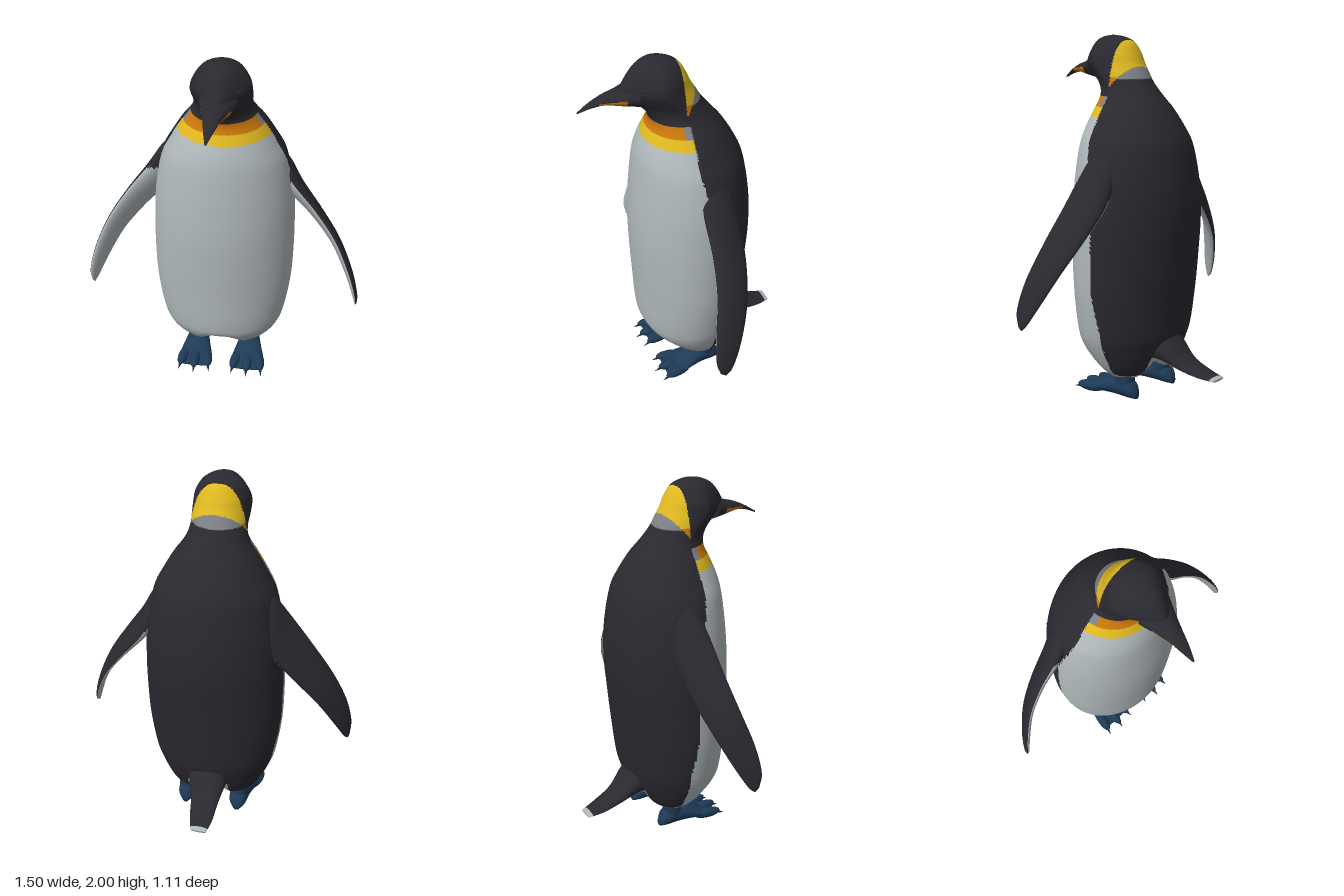
import * as THREE from 'three';

const mat = (name, color) => Object.assign(new THREE.MeshStandardMaterial({ color }), { name });
const V = (x, y, z) => new THREE.Vector3(x, y, z);
const { smoothstep } = THREE.MathUtils;

// Closed smooth skin over a list of rings, wound so that it faces outward
function loft(rings) {
  const n = rings[0].length, pts = rings.flat(), idx = [];
  for (let r = 0; r < rings.length - 1; r++)
    for (let i = 0; i < n; i++) {
      const a = r * n + i, b = r * n + (i + 1) % n;
      idx.push(a, b, a + n, b, b + n, a + n);
    }
  [rings[0], rings[rings.length - 1]].forEach((ring, end) => {
    const mid = ring.reduce((s, p) => s.add(p), V(0, 0, 0)).divideScalar(n);
    const m = pts.push(mid) - 1, o = end ? (rings.length - 1) * n : 0;
    for (let i = 0; i < n; i++) {
      const a = o + i, b = o + (i + 1) % n;
      end ? idx.push(a, b, m) : idx.push(b, a, m);
    }
  });
  let volume = 0;
  for (let i = 0; i < idx.length; i += 3)
    volume += pts[idx[i]].dot(V(0, 0, 0).crossVectors(pts[idx[i + 1]], pts[idx[i + 2]]));
  if (volume < 0) idx.reverse();
  const geo = new THREE.BufferGeometry().setFromPoints(pts);
  geo.setIndex(idx);
  geo.computeVertexNormals();
  return geo;
}

// Sorts faces into material groups; rule(centre, normal) returns a material
function painted(name, geo, rule) {
  const p = geo.attributes.position, idx = geo.index.array, bins = new Map();
  const tri = new THREE.Triangle(), c = V(0, 0, 0), nrm = V(0, 0, 0);
  for (let i = 0; i < idx.length; i += 3) {
    tri.setFromAttributeAndIndices(p, idx[i], idx[i + 1], idx[i + 2]);
    const m = rule(tri.getMidpoint(c), tri.getNormal(nrm));
    if (!bins.has(m)) bins.set(m, []);
    bins.get(m).push(idx[i], idx[i + 1], idx[i + 2]);
  }
  const mats = [...bins.keys()], sorted = [];
  mats.forEach((m, k) => {
    geo.addGroup(sorted.length, bins.get(m).length, k);
    for (const v of bins.get(m)) sorted.push(v);
  });
  geo.setIndex(sorted);
  const mesh = new THREE.Mesh(geo, mats);
  mesh.name = name;
  return mesh;
}

// Smoothly resamples rows of numbers
function resample(rows, count) {
  const curves = rows[0].map((_, k) => new THREE.CatmullRomCurve3(
    rows.map((r, i) => V(i, r[k], 0)), false, 'catmullrom', 0.5));
  return Array.from({ length: count + 1 }, (_, i) => curves.map(c => c.getPoint(i / count).y));
}

const ring = (n, f) => Array.from({ length: n }, (_, i) => {
  const a = i / n * Math.PI * 2;
  return f(Math.sin(a), Math.cos(a));
});

export function createModel() {
  const black = mat('blackFeathers', 0x2a2930), white = mat('paleFeathers', 0xb0b8bb);
  const grey = mat('greyNape', 0x7c8186), yellow = mat('yellowFeathers', 0xe0ba20);
  const orange = mat('orangeFeathers', 0xc8760c), blue = mat('blueFeet', 0x1e3a56);
  const claw = mat('darkClaws', 0x1a2733);
  const model = new THREE.Group();
  model.name = 'penguin';
  const add = (name, geo, m, parent = model) => {
    const mesh = new THREE.Mesh(geo, m);
    mesh.name = name;
    parent.add(mesh);
    return mesh;
  };

  // Body, neck and head: height, front z, back z, half width, narrowing to the front
  const sections = [
    [0.115, 0.0, -0.09, 0.09, 0], [0.12, 0.06, -0.14, 0.19, 0], [0.15, 0.115, -0.18, 0.24, 0],
    [0.2, 0.18, -0.215, 0.28, 0], [0.3, 0.265, -0.255, 0.33, 0], [0.4, 0.29, -0.28, 0.36, 0],
    [0.6, 0.3, -0.3, 0.388, 0], [0.8, 0.31, -0.32, 0.395, 0], [1.0, 0.315, -0.338, 0.392, 0],
    [1.2, 0.305, -0.332, 0.378, 0], [1.4, 0.285, -0.3, 0.338, 0],
    [1.5, 0.265, -0.26, 0.29, 0], [1.6, 0.225, -0.2, 0.23, 0], [1.65, 0.203, -0.16, 0.192, 0],
    [1.7, 0.21, -0.12, 0.163, 0.1], [1.75, 0.25, -0.08, 0.153, 0.3], [1.8, 0.31, -0.05, 0.156, 0.45],
    [1.85, 0.35, -0.02, 0.157, 0.5], [1.9, 0.33, 0.003, 0.147, 0.45], [1.96, 0.28, 0.04, 0.108, 0.3],
    [1.99, 0.225, 0.1, 0.06, 0.1], [2.0, 0.175, 0.16, 0.008, 0]];
  const bodyPaint = (c, n) => {
    const { x, y, z } = c;
    if (y > 1.7) {
      if (z > 0.055 || y < 1.725 || y > 1.975) return black;
      if (y > 1.79 - 1.3 * z) return y < 1.775 ? orange : yellow;
      return y > 1.765 ? grey : black;
    }
    if (y < 0.25 && (n.y < -0.7 || (Math.abs(x) < 0.12 && z < 0))) return white;
    const edge = -0.055 + 0.025 * smoothstep(y, 0.4, 0.65) + 0.075 * smoothstep(y, 1.05, 1.5);
    if (z < edge || y > 1.675) return black;
    if (y > 1.62) return z < 0.08 ? grey : orange;
    return y > 1.57 ? yellow : white;
  };
  // The lower rings rise in the middle, which leaves a lobe above each leg
  const lift = (x, y) => y + 0.075 * (1 - smoothstep(Math.abs(x), 0.02, 0.14)) * (1 - smoothstep(y, 0.12, 0.38));
  model.add(painted('bodyAndHead', loft(resample(sections, 168).map(([y, f, b, w, t]) =>
    ring(144, (s, c) => {
      const x = w * s * (1 - t * Math.max(0, c));
      return V(x, lift(x, y), (f + b) / 2 + (f - b) / 2 * c);
    }))), bodyPaint));

  // Beak: z, top, bottom, half width
  const beak = [[0.27, 1.895, 1.765, 0.1], [0.36, 1.86, 1.78, 0.067], [0.43, 1.84, 1.793, 0.044],
    [0.5, 1.808, 1.785, 0.026], [0.568, 1.768, 1.76, 0.005]];
  model.add(painted('beak', loft(resample(beak, 48).map(([z, t, b, w]) =>
    ring(36, (s, c) => V(w * s - 0.08 * (z - 0.27), (t + b) / 2 + (t - b) / 2 * c, z)))),
    (p) => p.z > 0.335 && p.z < 0.465 && p.y < 1.826 - 0.1 * (p.z - 0.33) ? orange : black));

  // Tail: z, height, half width, half thickness
  const tail = [[-0.14, 0.32, 0.14, 0.12], [-0.26, 0.285, 0.108, 0.085], [-0.36, 0.222, 0.08, 0.04],
    [-0.47, 0.187, 0.066, 0.02], [-0.565, 0.173, 0.045, 0.008]];
  model.add(painted('tail', loft(resample(tail, 32).map(([z, y, w, t]) =>
    ring(36, (s, c) => V(w * s + 0.09 * (z + 0.14), y + t * c, z)))),
    (p, n) => n.y < -0.6 || p.z < -0.54 ? white : black));

  // Flipper: x, y, z, half chord, half thickness
  const flipper = [[0.24, 1.42, -0.06, 0.05, 0.03], [0.3, 1.33, -0.055, 0.1, 0.055],
    [0.385, 1.19, -0.045, 0.125, 0.05], [0.515, 1.03, -0.03, 0.115, 0.035], [0.63, 0.87, 0.005, 0.1, 0.027],
    [0.715, 0.7, 0.06, 0.083, 0.022], [0.76, 0.57, 0.1, 0.055, 0.015], [0.77, 0.51, 0.11, 0.018, 0.006]];

  for (const [side, s, chord, back] of [['left', 1, V(-0.1, 0.57, 0.81), 0], ['right', -1, V(-0.25, 0.77, 0.58), 0.03]]) {
    const inner = V(0.11 * s, -0.17, 0.045).cross(chord).normalize();
    if (inner.x * s > 0) inner.negate();
    model.add(painted(side + 'Flipper', loft(resample(flipper, 56).map(([x, y, z, w, t]) =>
      ring(40, (a, b) => V(x * s, y, z - back).addScaledVector(chord, w * a).addScaledVector(inner, t * b)))),
      (p, n) => p.y < 1.27 && n.dot(inner) > 0.15 ? white : black));

    // Closed eye
    const eye = add(side + 'Eye', new THREE.SphereGeometry(1, 16, 10).scale(0.008, 0.01, 0.026), black);
    eye.position.set(0.1 * s, 1.88, 0.25);
    eye.rotation.y = -0.7 * s;

    // Foot: z, half width, height
    const foot = new THREE.Group();
    foot.name = side + 'Foot';
    foot.position.x = 0.158 * s;
    model.add(foot);
    const sole = [[-0.148, 0.02, 0.05], [-0.11, 0.05, 0.105], [-0.03, 0.06, 0.122], [0.05, 0.078, 0.1],
      [0.12, 0.096, 0.065], [0.18, 0.096, 0.035], [0.2, 0.08, 0.02]];
    add('web', loft(resample(sole, 24).map(([z, w, h]) =>
      ring(24, (a, b) => V(w * a, 0.008 + (h - 0.008) * (0.5 + 0.5 * b), z)))), blue, foot);
    add('ankle', new THREE.CylinderGeometry(0.055, 0.056, 0.09, 20), blue, foot).position.set(0, 0.115, -0.06);
    for (const k of [-1, 0, 1]) {
      const toe = new THREE.Group();
      toe.name = 'toe';
      toe.position.set(0.07 * k, 0, 0.14 + (k ? 0 : 0.015));
      toe.rotation.y = 0.2 * k;
      foot.add(toe);
      add('toePad', new THREE.SphereGeometry(1, 18, 12).scale(0.031, 0.03, 0.085).translate(0, 0.035, 0), blue, toe);
      add('claw', new THREE.ConeGeometry(0.012, 0.055, 10).rotateX(Math.PI / 2 + 0.35)
        .translate(0, 0.02, 0.085), claw, toe);
    }
  }

  // The bird stands turned slightly to its right
  model.rotation.y = -0.28;
  model.position.set(0.034, 0, 0.01);
  const root = new THREE.Group();
  root.add(model);
  return root;
}
